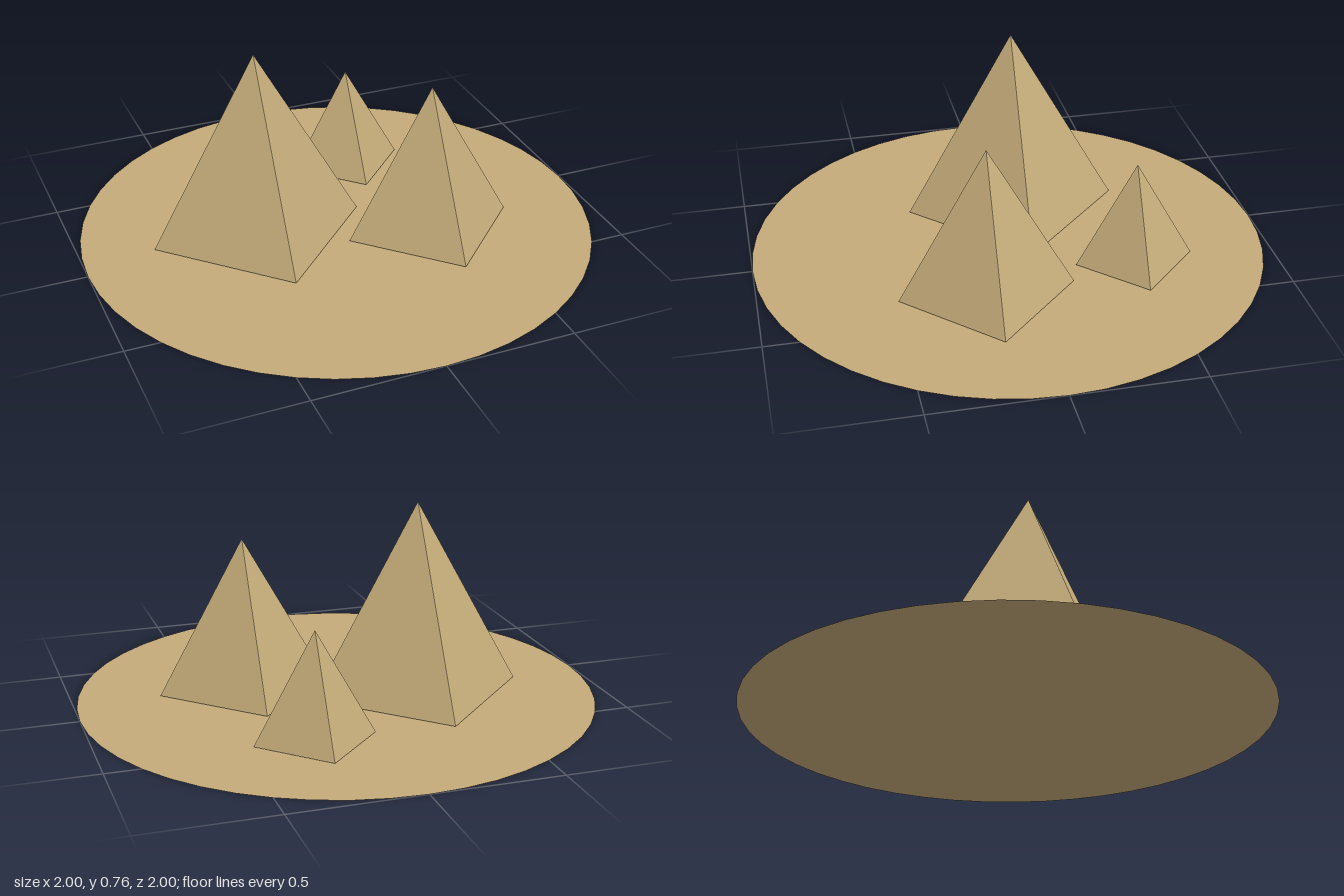
import * as THREE from 'three';

export function createModel() {
  const model = new THREE.Group();
  model.name = 'desertPyramids';

  const sand = new THREE.MeshStandardMaterial({ color: 0xc4ab79, flatShading: true, side: THREE.DoubleSide });
  sand.name = 'sand';

  // Flat round ground
  const ground = new THREE.Mesh(new THREE.CircleGeometry(1, 48).rotateX(-Math.PI / 2), sand);
  ground.name = 'ground';
  model.add(ground);

  // Four-sided pyramids with corners on the axes, just above the ground
  const lift = 0.008;
  const addPyramid = (name, x, z, radius, height) => {
    const geometry = new THREE.ConeGeometry(radius, height, 4).translate(0, height / 2, 0);
    const pyramid = new THREE.Mesh(geometry, sand);
    pyramid.name = name;
    pyramid.position.set(x, lift, z);
    model.add(pyramid);
  };
  addPyramid('largePyramid', -0.3, -0.075, 0.42, 0.75);
  addPyramid('mediumPyramid', 0.33, 0.15, 0.335, 0.6);
  addPyramid('smallPyramid', 0.225, -0.45, 0.23, 0.413);

  return model;
}
